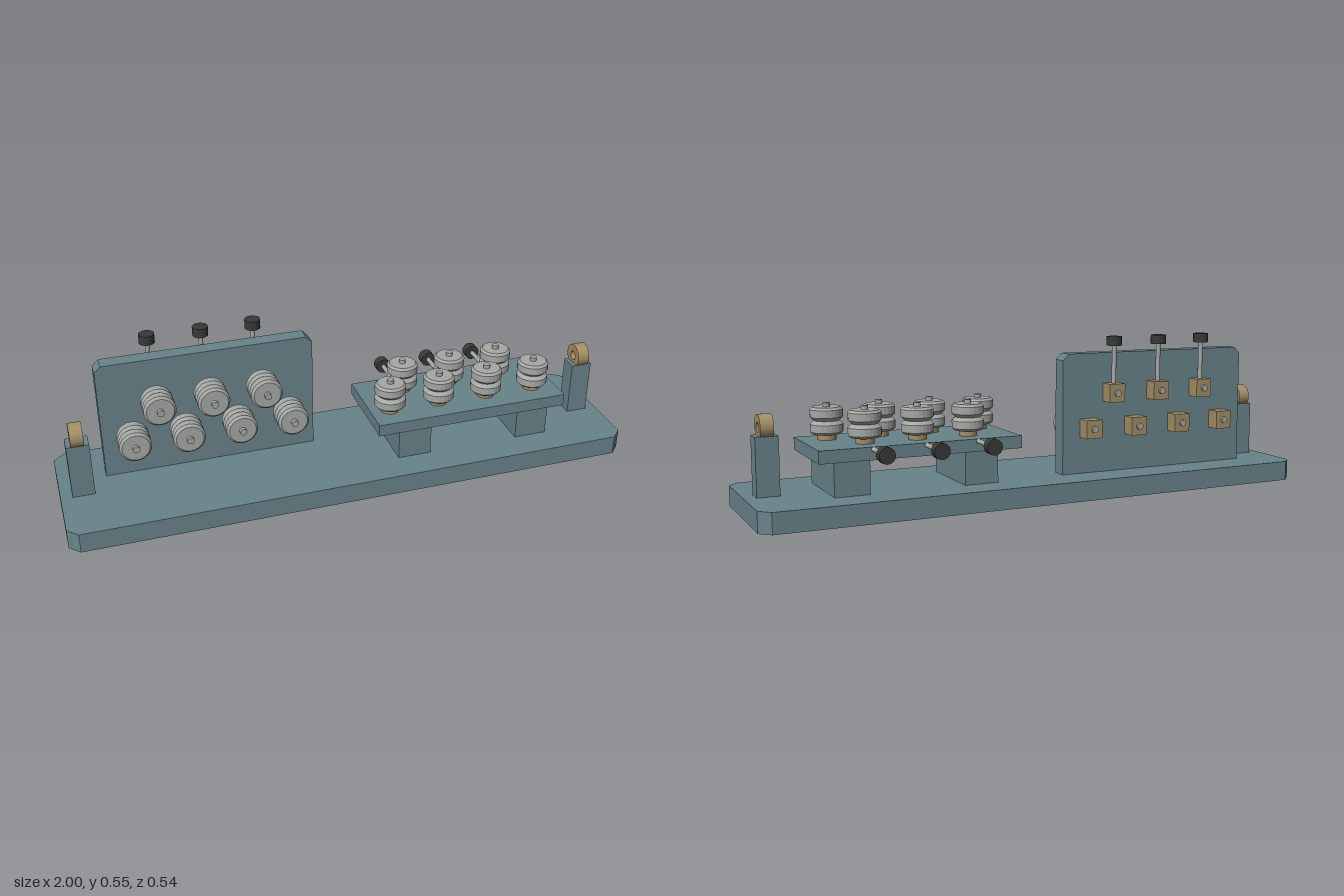
import * as THREE from 'three';

const paint = (name, color) => {
  const m = new THREE.MeshStandardMaterial({ color });
  m.name = name;
  return m;
};

export function createModel() {
  const model = new THREE.Group();
  model.name = 'wireStraightener';
  const teal = paint('tealPaint', 0x68838a);
  const steel = paint('steel', 0xa5a8a5);
  const brass = paint('brass', 0xa48e66);
  const black = paint('blackKnob', 0x383a36);

  const add = (parent, name, geometry, material, x = 0, y = 0, z = 0) => {
    const mesh = new THREE.Mesh(geometry, material);
    mesh.name = name;
    mesh.position.set(x, y, z);
    parent.add(mesh);
    return mesh;
  };
  // Box given by its limits on each axis
  const box = (parent, name, material, [x0, x1], [y0, y1], [z0, z1]) =>
    add(parent, name, new THREE.BoxGeometry(x1 - x0, y1 - y0, z1 - z0), material,
      (x0 + x1) / 2, (y0 + y1) / 2, (z0 + z1) / 2);
  // Upright cylinder between two heights
  const rod = (parent, name, material, r, y0, y1) =>
    add(parent, name, new THREE.CylinderGeometry(r, r, y1 - y0, 24), material, 0, (y0 + y1) / 2, 0);
  const plate = (points, depth, holes = []) => {
    const shape = new THREE.Shape(points.map(([x, y]) => new THREE.Vector2(x, y)));
    shape.holes.push(...holes);
    return new THREE.ExtrudeGeometry(shape, { depth, bevelEnabled: false });
  };

  // Base with cut corners
  const c = 0.036, zf = 0.27, zb = -0.227;
  const baseGeo = plate([[-1 + c, -zf], [1 - c, -zf], [1, -zf + c], [1, -zb - c],
    [1 - c, -zb], [-1 + c, -zb], [-1, -zb - c], [-1, -zf + c]], 0.07);
  baseGeo.rotateX(-Math.PI / 2);
  add(model, 'base', baseGeo, teal);

  // Upright plate with cut top corners
  const p0 = -0.835, p1 = -0.09, t = 0.022;
  add(model, 'uprightPlate', plate([[p0, 0.07], [p1, 0.07], [p1, 0.495 - t], [p1 - t, 0.495],
    [p0 + t, 0.495], [p0, 0.495 - t]], 0.055), teal, 0, 0, -0.095);

  // Raised table on two legs
  box(model, 'table', teal, [0.085, 0.79], [0.185, 0.228], [-0.13, 0.178]);
  for (const x of [0.226, 0.677])
    box(model, 'tableLeg', teal, [x - 0.06, x + 0.06], [0.07, 0.185], [-0.112, 0.16]);

  // Grooved roller, centred on its axle
  const half = [[0.047, 0.0455], [0.055, 0.0375], [0.055, 0.012]];
  const profile = [[0, -0.0455], ...half.map(([r, y]) => [r, -y]), [0.043, 0],
    ...half.slice().reverse(), [0, 0.0455]].map(([r, y]) => new THREE.Vector2(r, y));
  const rollerGeo = new THREE.LatheGeometry(profile, 24).toNonIndexed();
  rollerGeo.computeVertexNormals();
  const roller = (x, y, z, axleEnd) => {
    const g = new THREE.Group();
    g.name = 'rollerUnit';
    add(g, 'roller', rollerGeo, steel);
    rod(g, 'axle', steel, 0.012, axleEnd, 0.0585);
    g.position.set(x, y, z);
    model.add(g);
    return g;
  };
  // Adjusting screw pointing up from its origin
  const screw = (x, y, z, start, length) => {
    const g = new THREE.Group();
    g.name = 'adjustingScrew';
    rod(g, 'screwShaft', steel, 0.008, start, length);
    rod(g, 'screwKnob', black, 0.027, length - 0.002, length + 0.03);
    g.position.set(x, y, z);
    model.add(g);
    return g;
  };

  for (let i = 0; i < 7; i++) {
    const movable = i % 2 === 1;
    // Rollers on the upright plate, with bearing blocks behind
    const x = -0.735 + i * 0.091, y = movable ? 0.355 : 0.232;
    roller(x, y, 0.0245, -0.1775).rotation.x = Math.PI / 2;
    box(model, 'bearingBlock', brass, [x - 0.031, x + 0.031], [y - 0.0325, y + 0.0325], [-0.145, -0.095]);
    if (movable) screw(x, 0.385, -0.118, -0.01, 0.138);

    // Rollers on the table, with spacers below
    const tx = 0.155 + i * 0.091, tz = movable ? -0.04 : 0.087;
    const unit = roller(tx, 0.2925, tz, -0.08);
    rod(unit, 'spacer', brass, 0.031, -0.066, -0.0455);
    if (movable) screw(tx, 0.22, -0.13, -0.02, 0.106).rotation.x = -Math.PI / 2;
  }

  // Wire guides at both ends
  const bore = new THREE.Path().absarc(0, 0, 0.017, 0, Math.PI * 2, true);
  const circle = Array.from({ length: 32 }, (_, i) =>
    [0.042 * Math.cos(i * Math.PI / 16), 0.042 * Math.sin(i * Math.PI / 16)]);
  const ringGeo = plate(circle, 0.044, [bore]);
  ringGeo.translate(0, 0, -0.022);
  ringGeo.rotateY(Math.PI / 2);
  for (const s of [-1, 1]) {
    const x = s * 0.922;
    box(model, 'guidePost', teal, [x - 0.038, x + 0.038], [0.07, 0.265], [-0.007, 0.055]);
    add(model, 'guideRing', ringGeo, brass, x, 0.293, 0.024);
  }
  return model;
}
